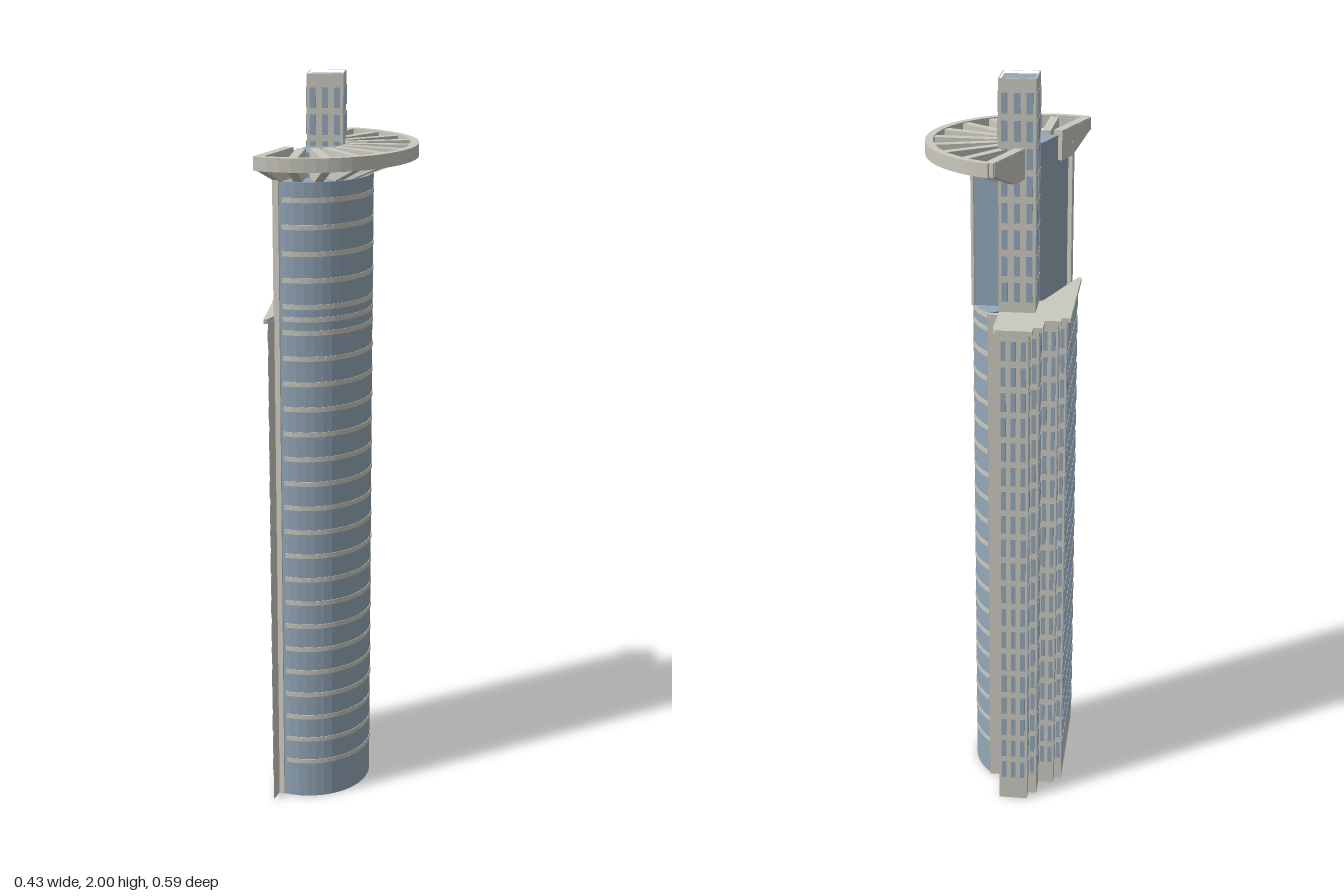
import * as THREE from 'three';
import { mergeGeometries } from 'three/addons/utils/BufferGeometryUtils.js';

const CX = -0.08;          // axis of the half-round tower
const FLOOR = 0.0693;      // storey height
const TURN = THREE.MathUtils.degToRad(20);

// Rotated grid of the slab and core: u across, v along
const uv = (u, v) => [
  u * Math.cos(TURN) + v * Math.sin(TURN),
  -u * Math.sin(TURN) + v * Math.cos(TURN),
];

// Plan points on an arc around the axis; angles in degrees, positive toward +z
function arc(r, from, to, n) {
  const pts = [];
  for (let i = 0; i <= n; i++) {
    const a = THREE.MathUtils.degToRad(from + ((to - from) * i) / n);
    pts.push([CX + r * Math.cos(a), r * Math.sin(a)]);
  }
  return pts;
}

// Upright prism from a plan outline of [x, z] points
function prism(plan, y0, y1, hole) {
  const vec = (p) => new THREE.Vector2(p[0], -p[1]);
  const shape = new THREE.Shape(plan.map(vec));
  if (hole) shape.holes.push(new THREE.Path(hole.map(vec)));
  const g = new THREE.ExtrudeGeometry(shape, { depth: y1 - y0, bevelEnabled: false });
  return g.rotateX(-Math.PI / 2).translate(0, y0, 0);
}

const box = (w, h, d, x, y, z) => new THREE.BoxGeometry(w, h, d).translate(x, y, z);
const band = (r0, r1, from, to, n, y0, y1) =>
  prism([...arc(r1, from, to, n), ...arc(r0, to, from, n)], y0, y1);

// Grid of thin window plates along the wall from a to b
function windows(a, b, cols, y0, rows) {
  const dx = b[0] - a[0], dz = b[1] - a[1];
  const pitch = Math.hypot(dx, dz) / cols;
  const out = [];
  for (let c = 0; c < cols; c++) {
    const t = (c + 0.5) / cols;
    for (let r = 0; r < rows; r++) {
      const g = new THREE.BoxGeometry(pitch * 0.5, 0.052, 0.005);
      g.rotateY(-Math.atan2(dz, dx));
      out.push(g.translate(a[0] + dx * t, y0 + (r + 0.5) * FLOOR, a[1] + dz * t));
    }
  }
  return out;
}

export function createModel() {
  const stone = new THREE.MeshStandardMaterial({ color: 0xcbc9c0 });
  stone.name = 'stone';
  const glass = new THREE.MeshStandardMaterial({ color: 0x94a8b9 });
  glass.name = 'blue glass';

  const model = new THREE.Group();
  model.name = 'skyscraper';
  const add = (name, geometry, material) => {
    const mesh = new THREE.Mesh(
      Array.isArray(geometry) ? mergeGeometries(geometry) : geometry, material);
    mesh.name = name;
    model.add(mesh);
  };

  // Half-round glass tower, cut back above the slab roof
  const cut = uv(0.02, -0.092);
  add('lowerGlassTower', prism([...arc(0.175, -66, 90, 20), [CX, -0.05]], 0, 1.4), glass);
  add('upperGlassTower',
    prism([...arc(0.175, -40.8, 90, 17), [CX, -0.03], cut], 1.4, 1.75), glass);

  // Floor bands around the glass
  const bands = [];
  for (let i = 0; i < 24; i++) {
    const y = 0.11 + i * FLOOR;
    const lower = y < 1.4;
    bands.push(band(0.172, 0.1765, lower ? -66 : -40.8, 86, lower ? 20 : 17, y - 0.0065, y + 0.0065));
  }
  bands.push(band(0.172, 0.1765, -66, 86, 20, 1.387, 1.4));
  add('floorBands', bands, stone);

  // Vertical fins closing the ends of the curved glass
  add('edgeFins', [
    box(0.017, 1.79, 0.012, -0.0835, 0.895, 0.173),
    box(0.008, 0.36, 0.008, 0.056, 1.58, -0.115),
  ], stone);

  // Stepped slab behind the tower
  const inner = [[0.02, -0.148], [0.02, -0.1], [-0.075, -0.04]].map((p) => uv(...p));
  const steps = [
    [-0.158, -0.158], [-0.138, -0.158], [-0.138, -0.183], [-0.095, -0.183],
    [-0.095, -0.24], [-0.072, -0.24], [-0.072, -0.27], [0.005, -0.27],
  ].map((p) => uv(...p));
  const tip = [-0.09, 0.215];
  add('slabBody', prism([
    tip, ...steps, uv(0.005, -0.161), uv(0.046, -0.161), uv(0.046, -0.148),
    ...inner, [-0.09, 0],
  ], 0, 1.39), stone);

  // Overhanging slab roof
  const eaves = [
    [-0.169, 0.175], [-0.169, -0.168], [-0.147, -0.168], [-0.147, -0.194], [-0.106, -0.194],
    [-0.106, -0.251], [-0.082, -0.251], [-0.082, -0.281], [0.011, -0.281],
    [0.019, -0.262], [0.019, -0.163], [0.046, -0.163], [0.046, -0.15],
  ].map((p) => uv(...p));
  add('slabRoof', prism([[-0.091, 0.218], ...eaves, ...inner, [-0.091, 0]], 1.388, 1.4), stone);

  // Slab windows on the long wall, the steps and the back wall
  const columns = [1, 1, 2, 2, 1, 1, 3];
  const slabWindows = windows(tip, steps[0], 9, 0.06, 19);
  columns.forEach((n, i) => slabWindows.push(...windows(steps[i], steps[i + 1], n, 0.06, 19)));
  add('slabWindows', slabWindows, glass);

  // Square core rising through the roof, with a parapet
  const square = (i) => [
    [-0.075 + i, -0.138 + i], [0.02 - i, -0.138 + i],
    [0.02 - i, -0.033 - i], [-0.075 + i, -0.033 - i],
  ].map((p) => uv(...p));
  const corners = square(0);
  add('core', prism(corners, 1.38, 1.985), stone);
  add('coreParapet', prism(corners, 1.985, 2, square(0.004)), stone);
  add('coreRoof', prism(square(0.004), 1.985, 1.993), glass);
  add('coreWindows',
    corners.flatMap((c, i) => windows(c, corners[(i + 1) % 4], 3, 1.42, 8)), glass);

  // Glass drum under the crown
  add('crownDrum', prism(arc(0.105, -90, 90, 18), 1.75, 1.815), glass);

  // Half-ring crown with its straight back beam
  add('crownRing', band(0.273, 0.293, -90, 90, 30, 1.793, 1.828), stone);
  const fin = new THREE.Shape([
    [0.103, 1.75], [0.17, 1.75], [0.276, 1.794], [0.276, 1.825], [0.103, 1.825],
  ].map((p) => new THREE.Vector2(...p)));
  const spokes = [];
  for (let i = -5; i <= 5; i++) {
    const g = new THREE.ExtrudeGeometry(fin, { depth: 0.023, bevelEnabled: false });
    g.translate(0, 0, -0.0115).rotateY((i * Math.PI) / 10);
    spokes.push(g.translate(CX, 0, 0));
  }
  add('crownSpokes', spokes, stone);
  add('crownEnds', [-1, 1].map((s) => box(0.024, 0.035, 0.18, -0.079, 1.8105, s * 0.194)), stone);

  return model;
}
